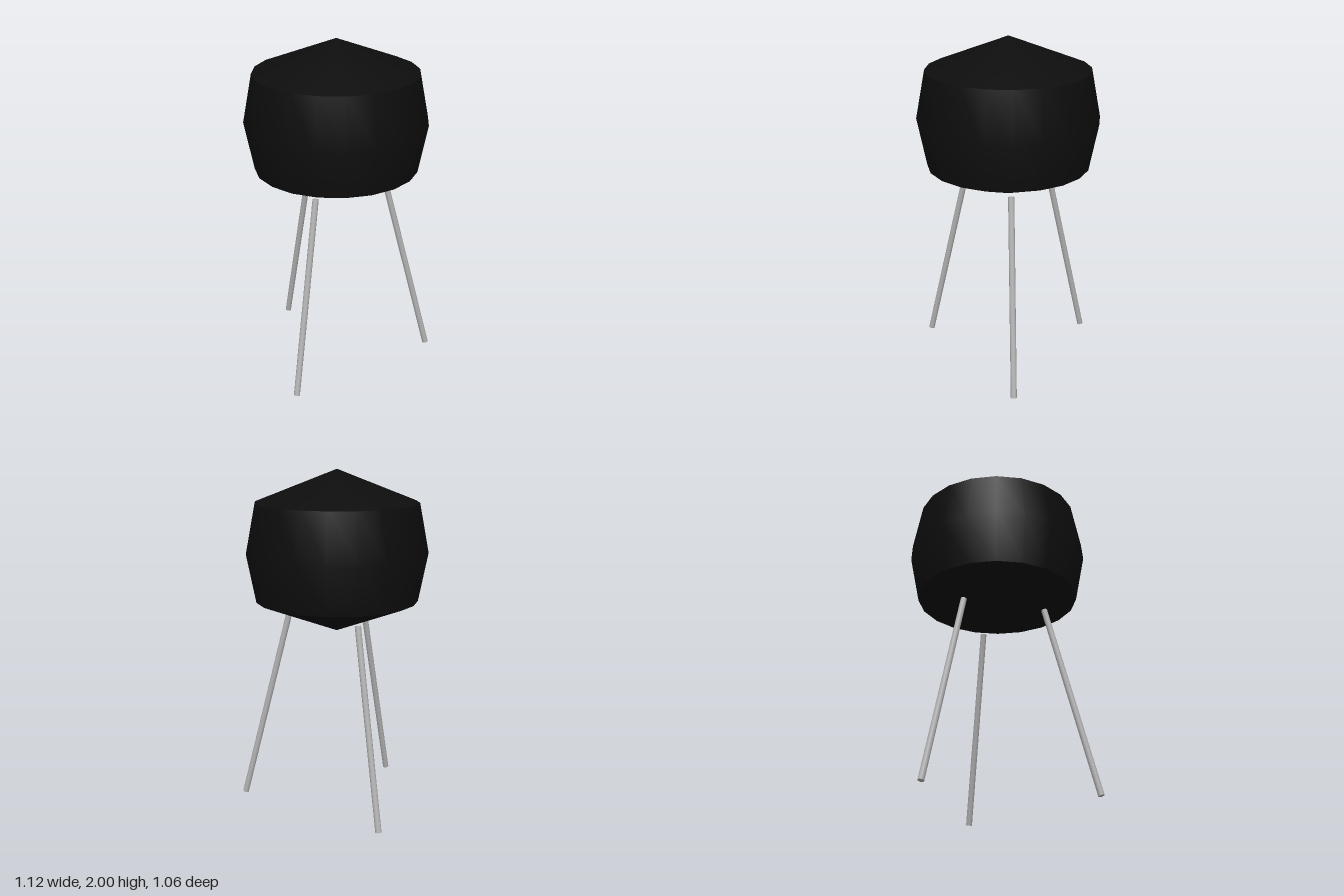
import * as THREE from 'three';
import { toCreasedNormals } from 'three/addons/utils/BufferGeometryUtils.js';

const CENTER_X = -0.03;

export function createModel() {
  const model = new THREE.Group();
  model.name = 'tripodDrum';

  const black = new THREE.MeshStandardMaterial({ color: 0x0d0d0d });
  black.name = 'black';
  const grey = new THREE.MeshStandardMaterial({ color: 0xb2b2b2 });
  grey.name = 'grey';

  // Barrel-shaped body with conical top and bottom
  const profile = [[0, 1.057], [0.475, 1.245], [0.53, 1.528], [0.475, 1.812], [0, 2]]
    .map(([r, y]) => new THREE.Vector2(r, y));
  const body = new THREE.Mesh(toCreasedNormals(new THREE.LatheGeometry(profile, 20), 0.5), black);
  body.name = 'body';
  body.position.x = CENTER_X;
  model.add(body);

  // Three splayed legs, one towards the left and two towards the right
  const up = new THREE.Vector3(0, 1, 0);
  const top = new THREE.Vector3(0.285, 1.145, 0);
  const foot = new THREE.Vector3(0.57, 0.0045, 0);
  const axis = top.clone().sub(foot);
  const legGeometry = new THREE.CylinderGeometry(0.0178, 0.0178, axis.length(), 16);
  for (let i = 0; i < 3; i++) {
    const leg = new THREE.Group();
    leg.name = `leg${i + 1}`;
    const rod = new THREE.Mesh(legGeometry, grey);
    rod.name = 'legRod';
    rod.position.copy(top).add(foot).multiplyScalar(0.5);
    rod.quaternion.setFromUnitVectors(up, axis.clone().normalize());
    leg.add(rod);
    leg.position.x = CENTER_X;
    leg.rotation.y = (i * Math.PI * 2) / 3;
    model.add(leg);
  }

  return model;
}
